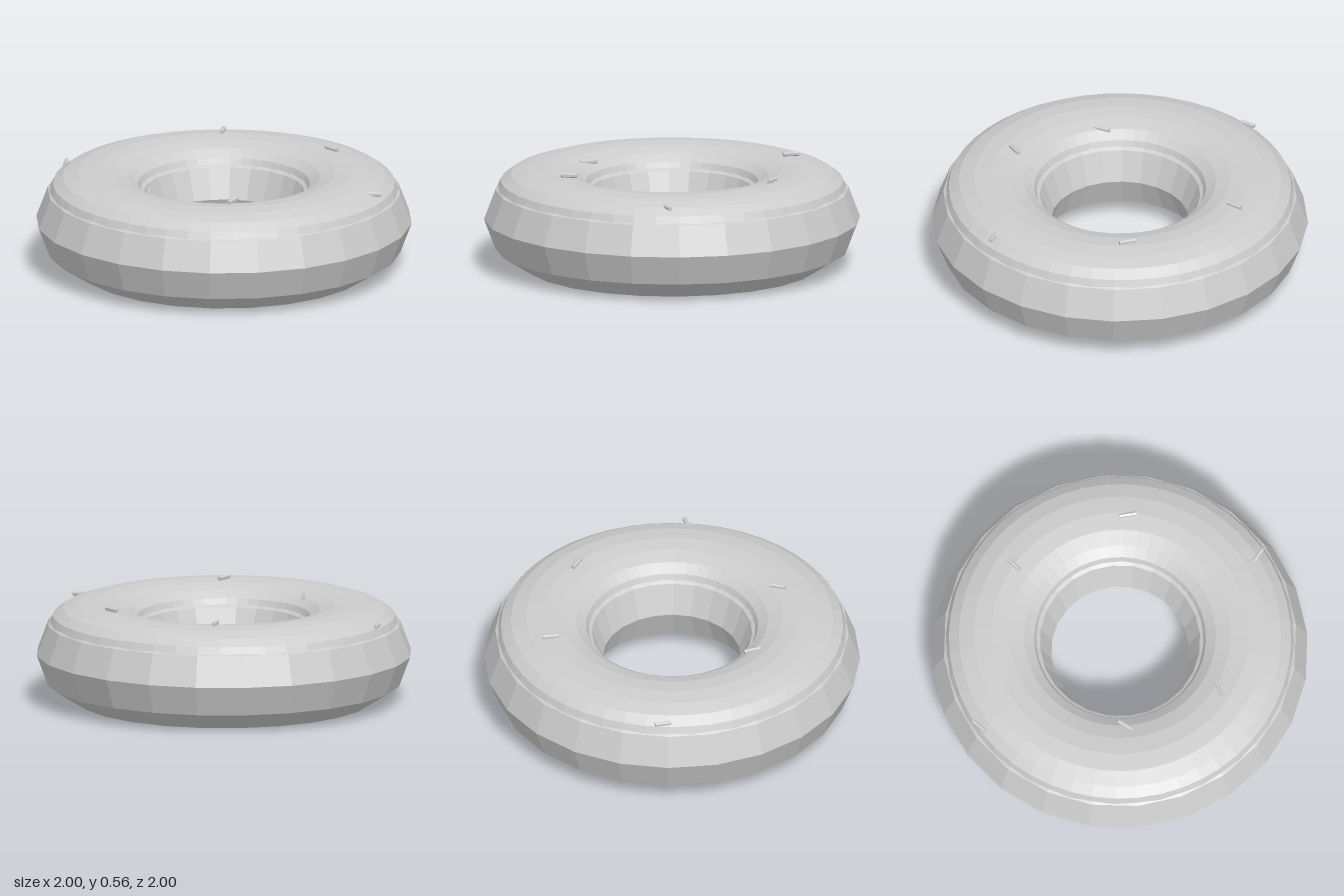
import * as THREE from 'three';

const material = new THREE.MeshStandardMaterial({ color: 0xcccccc, flatShading: true });

// A flattened ring lying on the ground plane
function ring(name, radius, halfWidth, halfHeight, y, sides, segments) {
  const geometry = new THREE.TorusGeometry(radius, halfWidth, sides, segments);
  geometry.rotateX(-Math.PI / 2);
  geometry.scale(1, halfHeight / halfWidth, 1);
  const mesh = new THREE.Mesh(geometry, material);
  mesh.name = name;
  mesh.position.y = y;
  return mesh;
}

// A short rod lying level between two points [x, z]
function sprinkle(y, [x1, z1], [x2, z2]) {
  const length = Math.hypot(x2 - x1, z2 - z1);
  const geometry = new THREE.CylinderGeometry(0.012, 0.012, length, 6);
  geometry.rotateX(Math.PI / 2);
  const mesh = new THREE.Mesh(geometry, material);
  mesh.name = 'sprinkle';
  mesh.position.set((x1 + x2) / 2, y, (z1 + z2) / 2);
  mesh.rotation.y = Math.atan2(x2 - x1, z2 - z1);
  return mesh;
}

export function createModel() {
  const donut = new THREE.Group();
  donut.name = 'donut';

  // Coarse dough ring, with flat top and bottom bands
  donut.add(ring('dough', 0.683, 0.317, 0.273, 0.26, 10, 24));

  // Finer icing ring sunk into the top of the dough
  donut.add(ring('icing', 0.683, 0.245, 0.115, 0.42, 16, 48));

  // Sprinkles: height, then both ends
  const sprinkles = new THREE.Group();
  sprinkles.name = 'sprinkles';
  [
    [0.55, [-0.24, -0.685], [-0.225, -0.6]],
    [0.55, [0.385, -0.535], [0.465, -0.495]],
    [0.478, [-0.91, -0.07], [-0.89, 0.015]],
    [0.502, [0.82, 0.075], [0.9, 0.045]],
    [0.507, [-0.29, 0.39], [-0.255, 0.475]],
    [0.547, [0.255, 0.515], [0.235, 0.6]],
  ].forEach((s) => sprinkles.add(sprinkle(...s)));
  donut.add(sprinkles);

  return donut;
}
